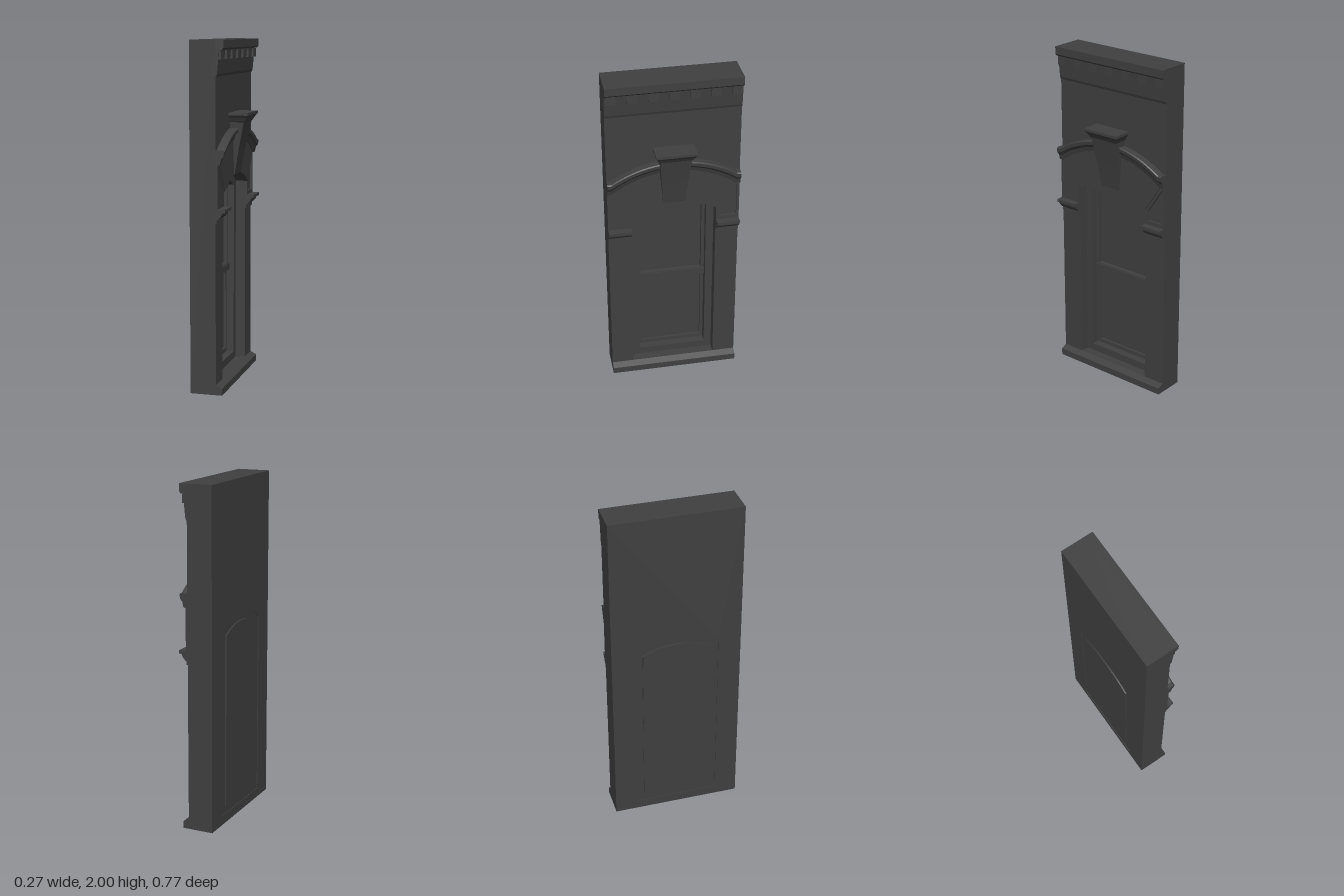
import * as THREE from 'three';

const material = new THREE.MeshStandardMaterial({ color: 0x404040, flatShading: true });
const W = 0.385;       // half width of the wall
const FRONT = 0.0185;  // wall face
const BACK = -0.132;

// Everything is modelled facing +z, then the whole facade is turned to face +x.
export function createModel() {
  const facade = new THREE.Group();
  facade.name = 'facade';

  const add = (name, geometry) => {
    const mesh = new THREE.Mesh(geometry, material);
    mesh.name = name;
    facade.add(mesh);
    return mesh;
  };
  const polygon = (pts) => new THREE.Shape(pts.map(([x, y]) => new THREE.Vector2(x, y)));
  const rect = (w, y0, y1) => polygon([[-w, y0], [w, y0], [w, y1], [-w, y1]]);

  // points of a shallow arc, from x = from to x = to
  const arc = (cy, r, from, to, n = 20) => Array.from({ length: n + 1 }, (_, i) => {
    const x = from + (to - from) * i / n;
    return [x, cy + Math.sqrt(r * r - x * x)];
  });
  // opening with a segmental arched head
  const arched = (w, y0, spring, rise) => {
    const r = (w * w + rise * rise) / (2 * rise);
    return polygon([[-w, y0], [w, y0], ...arc(spring + rise - r, r, w, -w)]);
  };
  // plate in the wall plane, from z0 to z1, with optional hole
  const plate = (shape, z0, z1, hole) => {
    if (hole) shape.holes.push(hole);
    return new THREE.ExtrudeGeometry(shape, { depth: z1 - z0, bevelEnabled: false })
      .translate(0, 0, z0);
  };
  // moulding: [z, y] profile run along x
  const moulding = (pts, x0, x1) =>
    new THREE.ExtrudeGeometry(polygon(pts), { depth: x1 - x0, bevelEnabled: false })
      .rotateY(-Math.PI / 2).translate(x1, 0, 0);
  // closed solid through equal-sized rings of [x, y, z] points
  const loft = (rings) => {
    const n = rings[0].length, index = [];
    rings.slice(1).forEach((_, i) => {
      for (let j = 0; j < n; j++) {
        const a = i * n + j, b = i * n + (j + 1) % n;
        index.push(a, b, b + n, a, b + n, a + n);
      }
    });
    const last = (rings.length - 1) * n;
    for (let j = 1; j < n - 1; j++) index.push(0, j + 1, j, last, last + j, last + j + 1);
    const g = new THREE.BufferGeometry();
    g.setAttribute('position', new THREE.Float32BufferAttribute(rings.flat(2), 3));
    g.setIndex(index);
    const flat = g.toNonIndexed();
    flat.computeVertexNormals();
    return flat;
  };

  // Wall with arched opening
  add('wall', plate(rect(W, 0, 2), BACK, FRONT, arched(0.25, 0.055, 1.15, 0.08)));

  // Window: outer frame, backing pane, two sashes, meeting rail
  add('windowFrame', plate(arched(0.25, 0.055, 1.15, 0.08), BACK + 0.004, -0.04,
    arched(0.205, 0.1, 1.13, 0.05)));
  add('windowPane', plate(arched(0.205, 0.1, 1.13, 0.05), BACK - 0.001, -0.1));
  add('upperBackPanel', plate(arched(0.2, 0.65, 1.13, 0.05), BACK - 0.004, BACK));
  add('lowerSash', plate(rect(0.205, 0.1, 0.615), -0.1, -0.085, rect(0.185, 0.125, 0.6)));
  add('upperSash', plate(rect(0.205, 0.62, 1.125), -0.1, -0.075, rect(0.185, 0.655, 1.11)));
  add('meetingRail', plate(rect(0.205, 0.61, 0.65), -0.1, -0.068));
  add('windowHead', plate(arched(0.205, 1.125, 1.13, 0.05), -0.1, -0.07));

  // Sill along the foot
  add('sill', moulding([[0, 0], [0.055, 0], [0.055, 0.04], [FRONT, 0.058], [0, 0.058]], -W, W));

  // Cornice and dentils
  add('cornice', moulding([[0, 1.8], [0.022, 1.8], [0.028, 1.815], [0.033, 1.87], [0.04, 1.945],
    [0.055, 1.945], [0.064, 1.955], [0.064, 2], [0, 2]], -W, W));
  for (let i = 0; i < 7; i++) {
    const dentil = add('dentil', new THREE.BoxGeometry(0.055, 0.05, 0.03));
    dentil.position.set((i - 3) * 0.117, 1.917, 0.035);
  }

  // Per side: impost, spandrel frame, half of the arch band
  for (const s of [-1, 1]) {
    add('impost', moulding([[0, 0.985], [0.025, 0.985], [0.025, 1.005], [0.036, 1.012],
      [0.05, 1.028], [0.056, 1.044], [0.072, 1.048], [0.072, 1.066], [0, 1.066]],
    s < 0 ? -W : 0.25, s < 0 ? -0.25 : W));
    const flip = (pts) => polygon(pts.map(([x, y]) => [s * x, y]));
    add('spandrelFrame', plate(
      flip([[0.25, 1.065], [W, 1.065], [W, 1.35], [0.37, 1.332], [0.25, 1.15]]), 0, 0.03,
      flip([[0.267, 1.09], [0.37, 1.09], [0.37, 1.3], [0.267, 1.145]])));
    add('archBand', plate(
      flip([...arc(0.8, 0.43, 0, 0.25), ...arc(0.847, 0.61, 0.37, 0)]), 0, 0.036));
  }

  // Hood moulding: [radius, z] profile following the arch, levelling out at the ends
  const hoodProfile = [[0.59, 0], [0.59, 0.042], [0.605, 0.047], [0.615, 0.05],
    [0.63, 0.064], [0.65, 0.067], [0.655, 0.06], [0.655, 0]];
  const hoodRings = [];
  for (let i = 0; i <= 32; i++) {
    const x = -W + 2 * W * i / 32, a = Math.min(Math.abs(x), 0.362);
    hoodRings.push(hoodProfile.map(([r, z]) => [x, 0.847 + Math.sqrt(r * r - a * a), z]));
  }
  hoodRings.forEach((ring) => ring.reverse());
  add('hoodMoulding', loft(hoodRings));

  // Keystone: [height, half width, front] sections, flaring into a cap
  const keystone = [[1.225, 0.064, 0.04], [1.37, 0.076, 0.066], [1.53, 0.09, 0.1],
    [1.535, 0.096, 0.106], [1.555, 0.106, 0.118], [1.57, 0.117, 0.13], [1.585, 0.117, 0.13]];
  add('keystone', loft(keystone.map(([y, w, z]) =>
    [[-w, y, z], [w, y, z], [w, y, 0], [-w, y, 0]])));

  facade.rotation.y = Math.PI / 2;
  const model = new THREE.Group();
  model.name = 'windowFacade';
  model.add(facade);
  return model;
}
